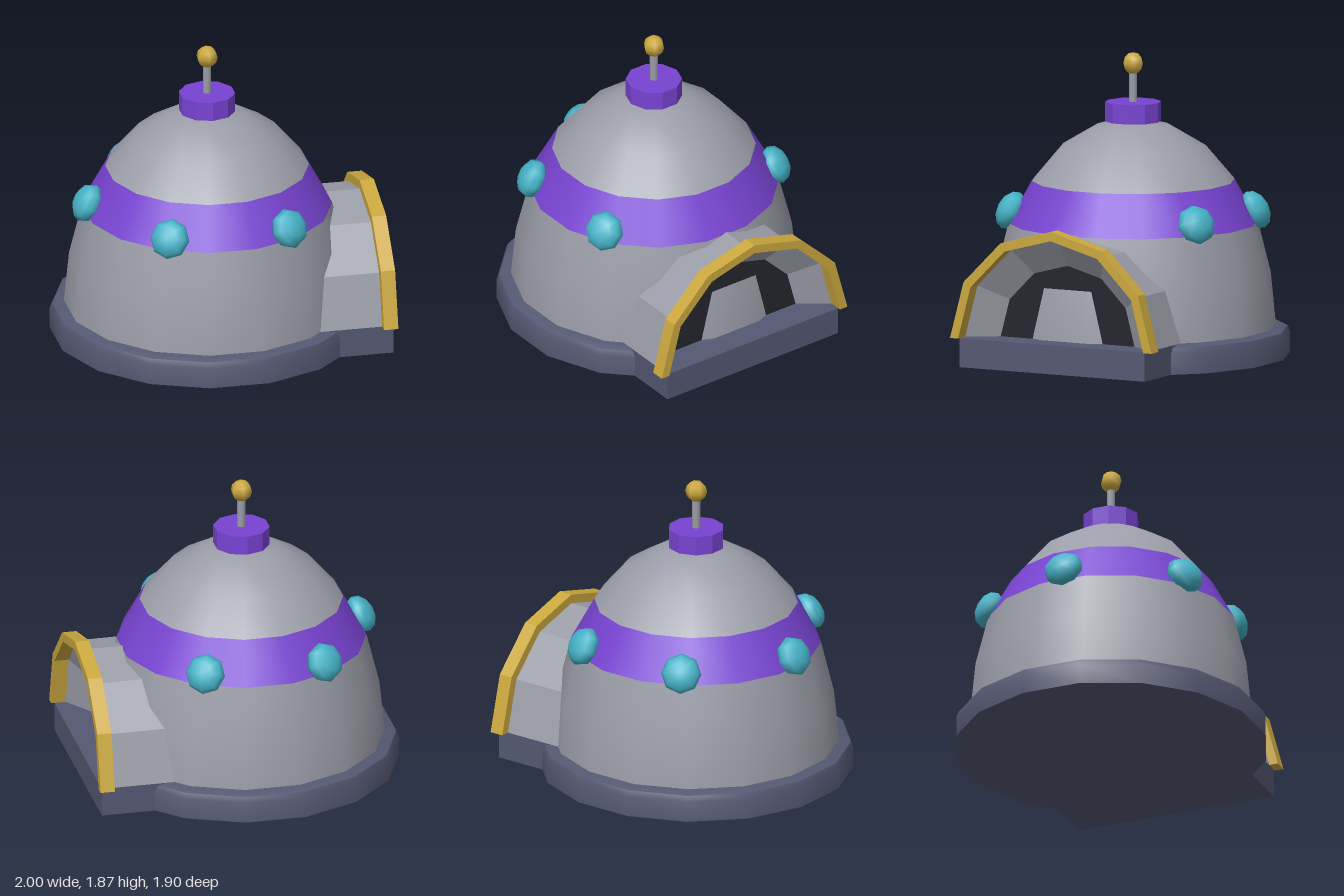
import * as THREE from 'three';
import { toCreasedNormals } from 'three/addons/utils/BufferGeometryUtils.js';

const mat = (name, color, side = THREE.FrontSide) => {
  const m = new THREE.MeshStandardMaterial({ color, side });
  m.name = name;
  return m;
};

export function createModel() {
  const grey = mat('dome grey', 0x9b9da8, THREE.DoubleSide);
  const slate = mat('slate', 0x545872);
  const purple = mat('purple', 0x7843d2);
  const gold = mat('gold', 0xcba83e);
  const teal = mat('teal', 0x45b2c6);
  const dark = mat('doorway dark', 0x24242e);

  const model = new THREE.Group();
  const CX = -0.05;            // dome axis
  const SIDES = 16;
  const FLOOR = 0.18;

  const add = (name, geometry, material, x = 0, y = 0, z = 0) => {
    const mesh = new THREE.Mesh(geometry, material);
    mesh.name = name;
    mesh.position.set(x, y, z);
    model.add(mesh);
    return mesh;
  };
  const faceted = (g) => {
    const flat = g.index ? g.toNonIndexed() : g;
    flat.computeVertexNormals();
    return flat;
  };
  // 16-sided lathe whose flats face the axes; profile gives flat-to-axis distances
  const lathe = (profile) => new THREE.LatheGeometry(
    profile.map(([r, y]) => new THREE.Vector2(r / Math.cos(Math.PI / SIDES), y)),
    SIDES, Math.PI / SIDES);

  // Base and entrance platform
  const base = lathe([[0, 0], [0.95, 0], [0.95, 0.13], [0.935, 0.165], [0.9, FLOOR], [0, FLOOR]]);
  add('base', toCreasedNormals(base, 0.75), slate, CX);
  add('entrancePlatform', new THREE.BoxGeometry(0.58, FLOOR, 1.3), slate, 0.69, FLOOR / 2);

  // Dome in three rings, the middle one a coloured band
  add('lowerDome', lathe([[0.865, 0.16], [0.86, 0.22], [0.833, 0.5], [0.755, 0.82]]), grey, CX);
  add('domeBand', lathe([[0.755, 0.82], [0.615, 1.08]]), purple, CX);
  add('upperDome', lathe([[0.615, 1.08], [0.44, 1.29], [0.225, 1.42], [0, 1.455]]), grey, CX);

  // Studs squashed along the slope of the band
  const studGeometry = new THREE.SphereGeometry(0.125, 8, 6);
  studGeometry.scale(1, 0.68, 1);
  studGeometry.rotateX(Math.PI / 2);
  studGeometry.rotateX(-0.49);
  for (let i = 1; i <= 5; i++) {
    const a = Math.PI / 2 + i * Math.PI / 3;
    const r = 0.752;
    const stud = add('stud' + i, studGeometry, teal, CX + r * Math.sin(a), 0.892, r * Math.cos(a));
    stud.rotation.y = a;
  }

  // Top cap and antenna
  add('topCap', faceted(new THREE.CylinderGeometry(0.174, 0.174, 0.12, 10)), purple, CX, 1.506);
  add('antennaRod', new THREE.CylinderGeometry(0.026, 0.026, 0.22, 8), grey, CX, 1.66);
  const tip = add('antennaTip', new THREE.SphereGeometry(0.068, 6, 6), gold, CX, 1.804);
  tip.rotation.y = Math.PI / 2;

  // Entrance tunnel: half rings of six facets running along x
  const archTube = (rFront, rBack, x0, x1) => {
    const g = new THREE.CylinderGeometry(rFront, rBack, x1 - x0, 6, 1, true, Math.PI, Math.PI);
    g.rotateZ(-Math.PI / 2);
    g.translate((x0 + x1) / 2, FLOOR, 0);
    return faceted(g);
  };
  add('tunnelShell', archTube(0.65, 0.65, 0.4, 0.91), grey);
  add('tunnelRecess', archTube(0.65, 0.47, 0.783, 0.91), grey);

  // Dark doorway plate at the back of the recess
  const door = new THREE.CircleGeometry(0.47, 6, 0, Math.PI);
  door.rotateY(Math.PI / 2);
  add('doorway', door, dark, 0.783, FLOOR);

  // Gold arch around the mouth
  const arc = (r) => Array.from({ length: 7 }, (_, i) =>
    new THREE.Vector2(r * Math.cos(i * Math.PI / 6), r * Math.sin(i * Math.PI / 6)));
  const trimShape = new THREE.Shape([...arc(0.707), ...arc(0.65).reverse()]);
  const trim = new THREE.ExtrudeGeometry(trimShape, { depth: 0.09, bevelEnabled: false });
  trim.rotateY(Math.PI / 2);
  add('entranceTrim', trim, gold, 0.91, FLOOR);

  return model;
}
